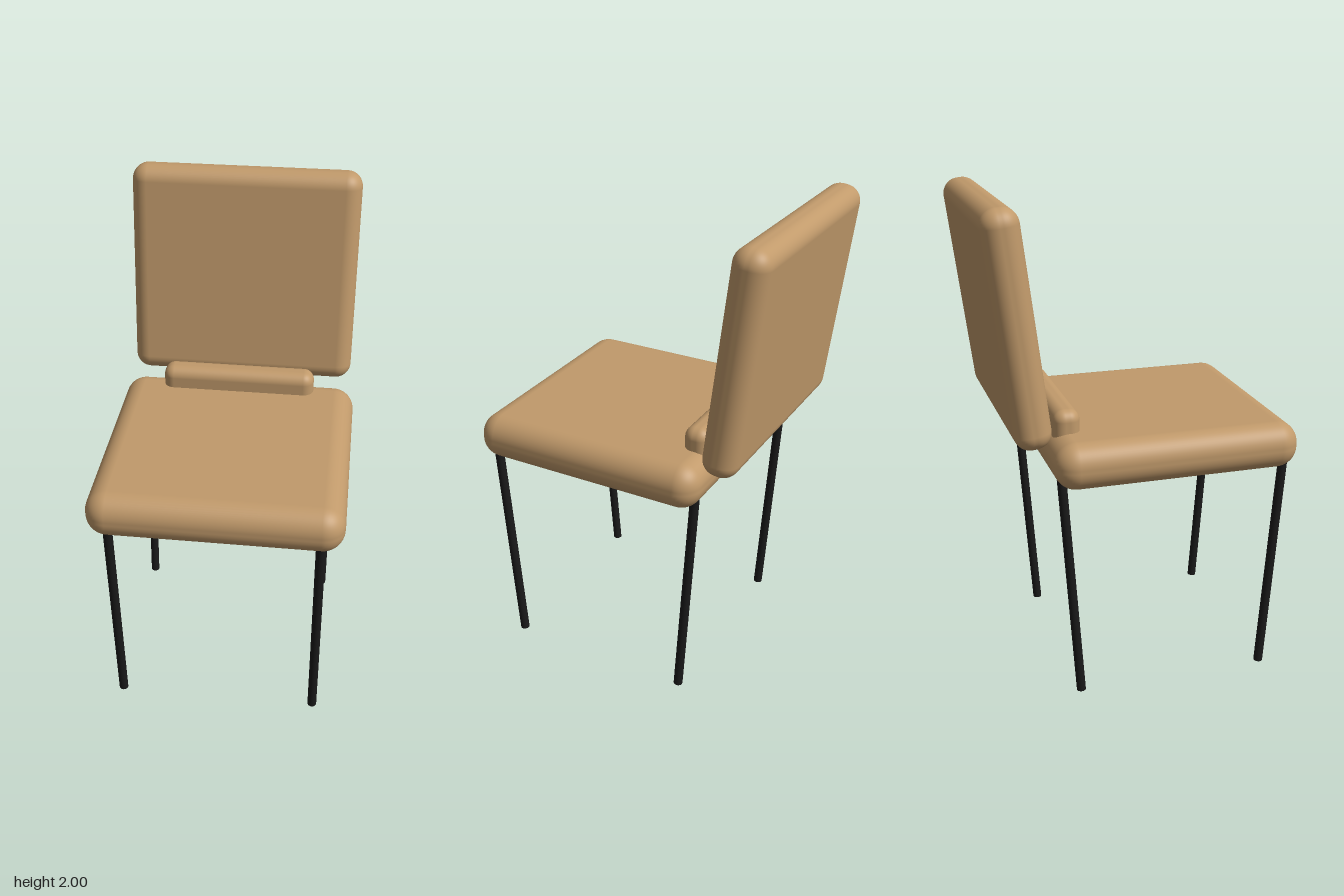
import * as THREE from 'three';
import { RoundedBoxGeometry } from 'three/addons/geometries/RoundedBoxGeometry.js';

export function createModel() {
  const chair = new THREE.Group();
  chair.name = 'chair';
  const fabric = new THREE.MeshStandardMaterial({ color: 0xc19a6b });
  const metal = new THREE.MeshStandardMaterial({ color: 0x1a1a1a });

  function cushion(name, [w, h, d], radius, [x, y, z], tilt = 0) {
    const mesh = new THREE.Mesh(new RoundedBoxGeometry(w, h, d, 6, radius), fabric);
    mesh.name = name;
    mesh.position.set(x, y, z);
    mesh.rotation.x = tilt;
    chair.add(mesh);
  }

  // Padded seat, leaning backrest and small lumbar bolster
  cushion('seat', [1.01, 0.19, 1.005], 0.088, [0, 1.005, 0.123]);
  cushion('backrest', [0.965, 0.917, 0.147], 0.066, [0, 1.545, -0.507], -0.124);
  cushion('lumbarBolster', [0.656, 0.19, 0.108], 0.045, [0, 1.095, -0.295]);

  // Thin round legs, sloping inwards towards the floor
  function leg(name, x, zFoot, zTop) {
    const foot = new THREE.Vector3(x, 0.002, zFoot);
    const top = new THREE.Vector3(x, 0.95, zTop);
    const axis = top.clone().sub(foot);
    const mesh = new THREE.Mesh(new THREE.CylinderGeometry(0.019, 0.019, axis.length(), 16), metal);
    mesh.name = name;
    mesh.position.copy(foot).add(top).multiplyScalar(0.5);
    mesh.quaternion.setFromUnitVectors(new THREE.Vector3(0, 1, 0), axis.normalize());
    chair.add(mesh);
  }
  for (const [side, x] of [['Left', 0.415], ['Right', -0.415]]) {
    leg(`front${side}Leg`, x, 0.512, 0.58);
    leg(`back${side}Leg`, x, -0.28, -0.348);
  }
  return chair;
}
